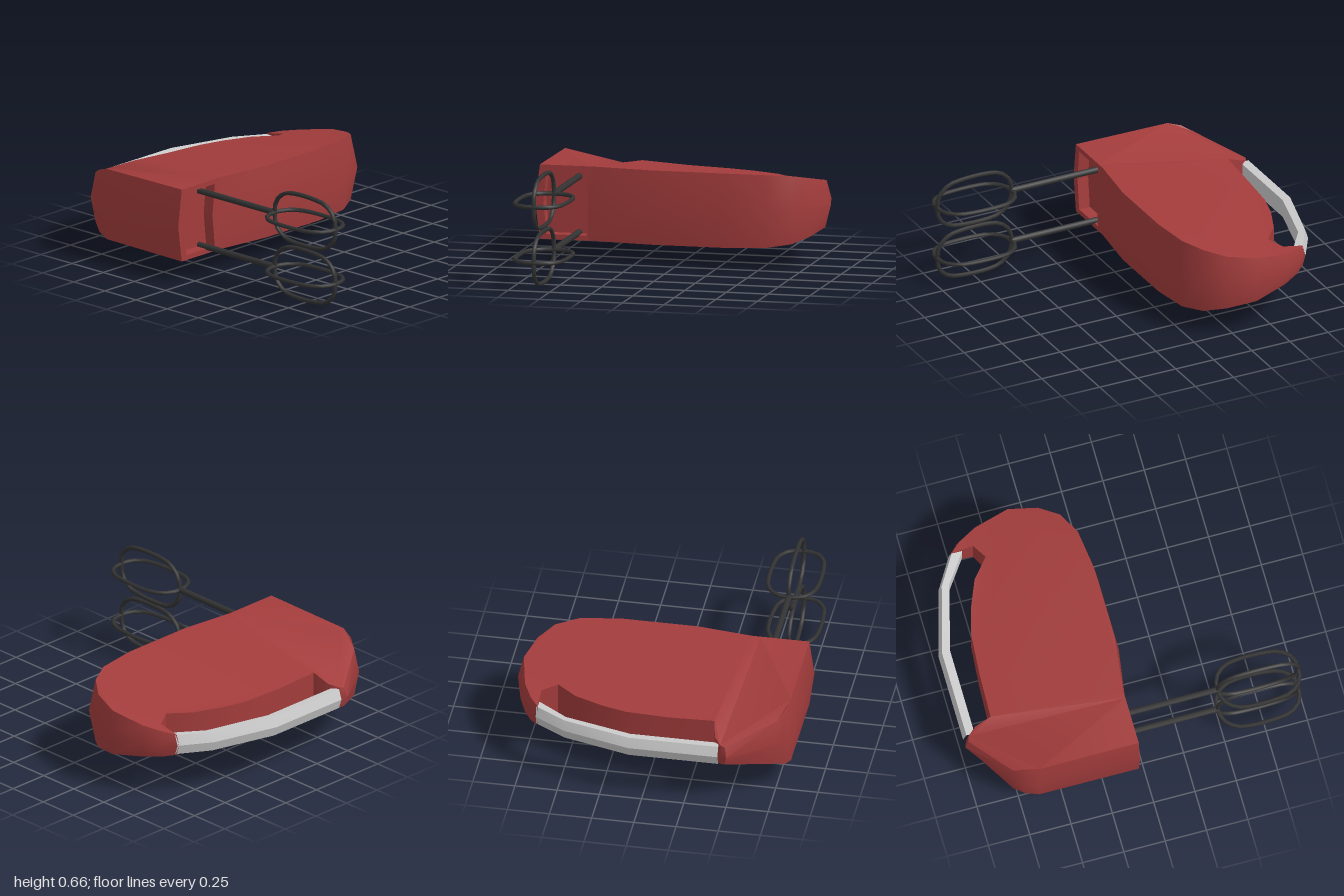
import * as THREE from 'three';
import { toCreasedNormals } from 'three/addons/utils/BufferGeometryUtils.js';

const MID = 0.35; // height of the symmetry plane

const red = new THREE.MeshStandardMaterial({ color: 0xa33c3c, side: THREE.DoubleSide });
const grey = new THREE.MeshStandardMaterial({ color: 0xcccccc });
const dark = new THREE.MeshStandardMaterial({ color: 0x333333 });

function named(name, geometry, material) {
  const mesh = new THREE.Mesh(geometry, material);
  mesh.name = name;
  return mesh;
}

function fromTriangles(points, crease = 0.6) {
  const g = new THREE.BufferGeometry().setFromPoints(points);
  g.computeVertexNormals();
  return toCreasedNormals(g, crease);
}

// Skin between successive closed rings of equal length
function skin(rings, crease) {
  const tris = [];
  for (let i = 0; i < rings.length - 1; i++) {
    const a = rings[i], b = rings[i + 1];
    a.forEach((p, k) => {
      const n = (k + 1) % a.length;
      tris.push(p, a[n], b[n], p, b[n], b[k]);
    });
  }
  return fromTriangles(tris, crease);
}

// Body outline: widest x, z, then rim x, z and rim half-height
const outline = [
  [-0.53, -0.04, -0.53, -0.04, 0.22],
  [-0.48, -0.025, -0.48, -0.04, 0.22],
  [-0.15, 0.025, -0.15, 0.0, 0.22],
  [0.3, 0.025, 0.3, 0.0, 0.22],
  [0.55, -0.01, 0.54, -0.03, 0.215],
  [0.7, -0.07, 0.675, -0.1, 0.2],
  [0.79, -0.2, 0.76, -0.21, 0.17],
  [0.845, -0.38, 0.81, -0.38, 0.14],
  [0.79, -0.6, 0.765, -0.59, 0.1],
  [0.73, -0.71, 0.71, -0.7, 0.08],
  [0.66, -0.78, 0.66, -0.76, 0.065],
  [0.66, -0.63, 0.66, -0.63, 0.09],
  [0.57, -0.58, 0.57, -0.58, 0.11],
  [0.45, -0.68, 0.45, -0.68, 0.11],
  [0.28, -0.75, 0.28, -0.75, 0.11],
  [0.13, -0.79, 0.13, -0.79, 0.11],
  [-0.12, -0.81, -0.12, -0.81, 0.115],
  [-0.4, -0.82, -0.4, -0.82, 0.13],
  [-0.42, -0.92, -0.42, -0.92, 0.085],
  [-0.46, -0.985, -0.46, -0.97, 0.065],
  [-0.5, -1.0, -0.49, -0.98, 0.06],
  [-0.79, -0.8, -0.765, -0.785, 0.15],
  [-0.83, -0.73, -0.8, -0.72, 0.19],
  [-0.85, -0.65, -0.82, -0.64, 0.215],
  [-0.85, -0.04, -0.82, -0.04, 0.22],
];

function buildBody() {
  const body = new THREE.Group();
  body.name = 'body';
  const mid = outline.map(([x, z]) => new THREE.Vector3(x, MID, z));
  const rim = (s) => outline.map(([, , x, z, h]) => new THREE.Vector3(x, MID + s * h, z));
  const top = rim(1), bottom = rim(-1);

  // Side wall, left open where the beater socket sits
  const wall = [];
  for (let i = 0; i < outline.length - 1; i++) {
    const j = i + 1;
    wall.push(mid[i], mid[j], top[j], mid[i], top[j], top[i]);
    wall.push(bottom[i], bottom[j], mid[j], bottom[i], mid[j], mid[i]);
  }
  body.add(named('sideWall', fromTriangles(wall, 0.7), red));

  // Flat covers, split along the seam between motor head and main housing
  const index = outline.map((_, i) => i);
  const sections = {
    housing: index.slice(1, 18),
    head: [...index.slice(17), 0, 1],
  };
  for (const [name, ids] of Object.entries(sections)) {
    const flat = ids.map((i) => new THREE.Vector2(top[i].x, -top[i].z));
    const upper = [], lower = [];
    for (const [a, b, c] of THREE.ShapeUtils.triangulateShape(flat, [])) {
      upper.push(top[ids[a]], top[ids[b]], top[ids[c]]);
      lower.push(bottom[ids[a]], bottom[ids[c]], bottom[ids[b]]);
    }
    body.add(named(name + 'TopCover', fromTriangles(upper), red));
    body.add(named(name + 'BottomCover', fromTriangles(lower), red));
  }
  return body;
}

// Recessed front of the motor head
function buildSocket() {
  const socket = new THREE.Group();
  socket.name = 'beaterSocket';
  const v = (x, y) => new THREE.Vector2(x, MID + y);
  const face = new THREE.Shape([
    v(-0.82, -0.22), v(-0.53, -0.22), v(-0.53, 0.22), v(-0.82, 0.22), v(-0.85, 0),
  ]);
  const hole = [
    v(-0.78, -0.19), v(-0.54, -0.19), v(-0.56, 0), v(-0.54, 0.19), v(-0.78, 0.19), v(-0.8, 0),
  ];
  face.holes.push(new THREE.Path(hole));
  const frame = named('socketFrame', new THREE.ShapeGeometry(face), red);
  frame.position.z = -0.04;
  const ring = (z) => hole.map((p) => new THREE.Vector3(p.x, p.y, z));
  const sides = named('socketSides', skin([ring(-0.11), ring(-0.04)], 0.2), red);
  const floor = named('socketFloor', new THREE.ShapeGeometry(new THREE.Shape(hole)), red);
  floor.position.z = -0.11;
  socket.add(frame, sides, floor);
  return socket;
}

// Grip: ridged section swept along the back
function buildHandle() {
  const stations = [
    [-0.45, -1.0, 0.07], [0.08, -1.0, 0.07], [0.48, -0.89, 0.065], [0.668, -0.775, 0.085],
  ];
  const rings = stations.map(([x, z, w]) =>
    [[0, 0], [0.02, 0.06], [w, 0.055], [w, -0.055], [0.02, -0.06]].map(
      ([dz, dy]) => new THREE.Vector3(x, MID + dy, z + dz)));
  return named('handle', skin(rings, 0.4), grey);
}

// Shaft with two crossed wire loops
function buildBeater(name, y) {
  const beater = new THREE.Group();
  beater.name = name;
  beater.position.set(-0.6, y, 0);

  const shaft = named('shaft', new THREE.CylinderGeometry(0.019, 0.019, 0.61, 8), dark);
  shaft.rotation.x = Math.PI / 2;
  shaft.position.z = 0.195;
  beater.add(shaft);

  const half = [[0.075, 0.512], [0.13, 0.57], [0.148, 0.64], [0.148, 0.82], [0.13, 0.91], [0.075, 0.972]];
  const path = [[0, 0.497], ...half, [0, 0.985], ...half.map(([x, z]) => [-x, z]).reverse()];
  const curve = new THREE.CatmullRomCurve3(
    path.map(([x, z]) => new THREE.Vector3(x, 0, z)), true);
  const wire = new THREE.TubeGeometry(curve, 28, 0.013, 6, true);
  for (const turn of [0, Math.PI / 2]) {
    const loop = named('wireLoop', wire, dark);
    loop.rotation.z = turn;
    beater.add(loop);
  }
  return beater;
}

export function createModel() {
  const model = new THREE.Group();
  model.name = 'handMixer';
  model.add(
    buildBody(),
    buildSocket(),
    buildHandle(),
    buildBeater('upperBeater', 0.498),
    buildBeater('lowerBeater', 0.167),
  );
  return model;
}
